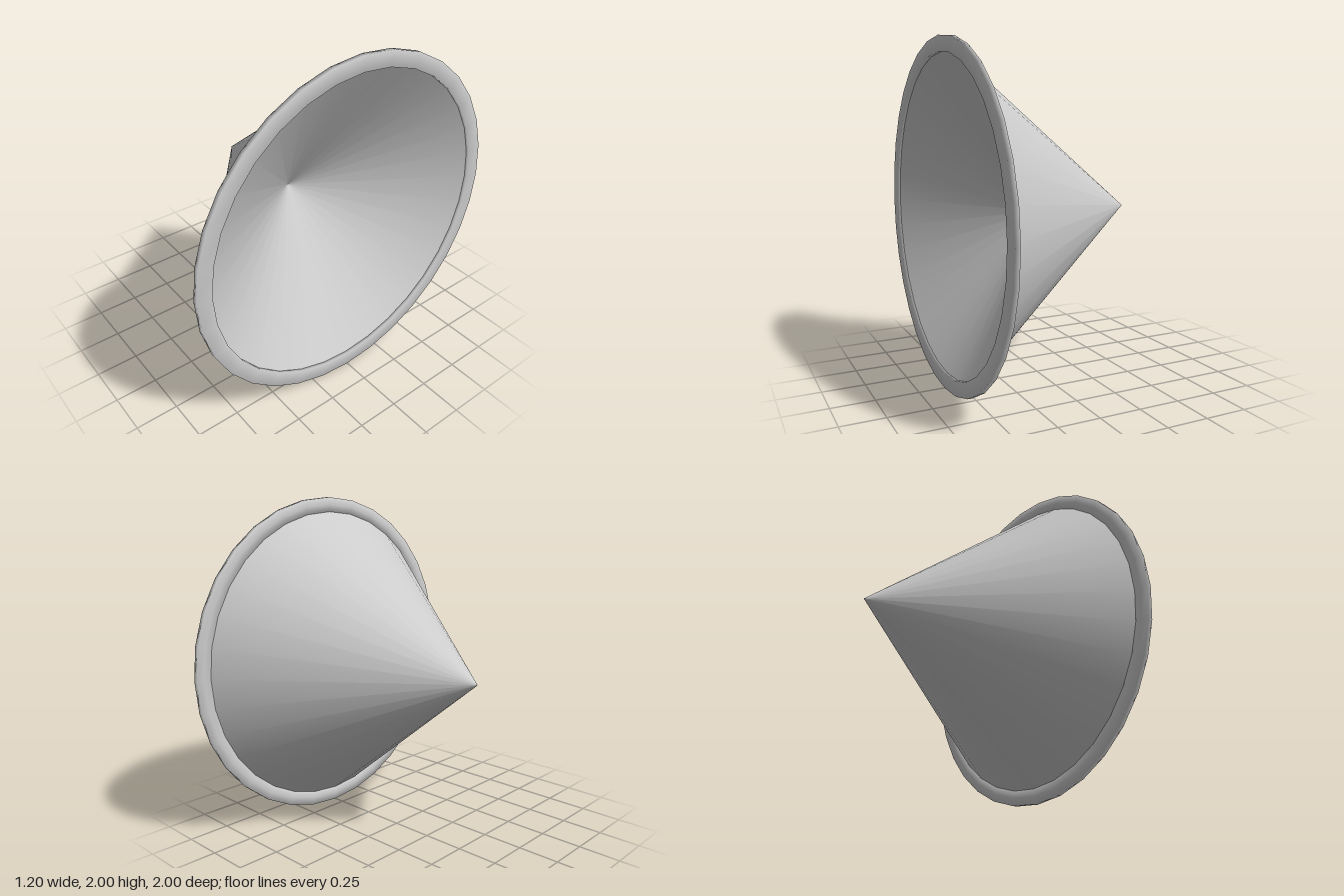
import * as THREE from 'three';

const SIDES = 32;

export function createModel() {
  const model = new THREE.Group();
  const material = new THREE.MeshStandardMaterial({ color: 0xcccccc, side: THREE.DoubleSide });

  // Turned parts are drawn along y, then laid down so +y points to -x
  const turned = (name, profile) => {
    const points = profile.map(([r, y]) => new THREE.Vector2(r, y));
    const mesh = new THREE.Mesh(new THREE.LatheGeometry(points, SIDES), material);
    mesh.name = name;
    mesh.rotation.z = Math.PI / 2;
    mesh.position.y = 1;
    model.add(mesh);
  };

  // Outer cone, tip towards -x
  turned('outerCone', [[0.912, -0.57], [0, 0.6]]);

  // Shallower hollow inside the open mouth
  turned('innerCone', [[0, 0], [0.912, -0.58]]);

  // Thin rim around the mouth, shaded softly over its edges
  turned('rim', [
    [0.955, -0.57], [0.912, -0.57], [0.912, -0.598],
    [1, -0.598], [1, -0.57], [0.955, -0.57],
  ]);

  return model;
}
